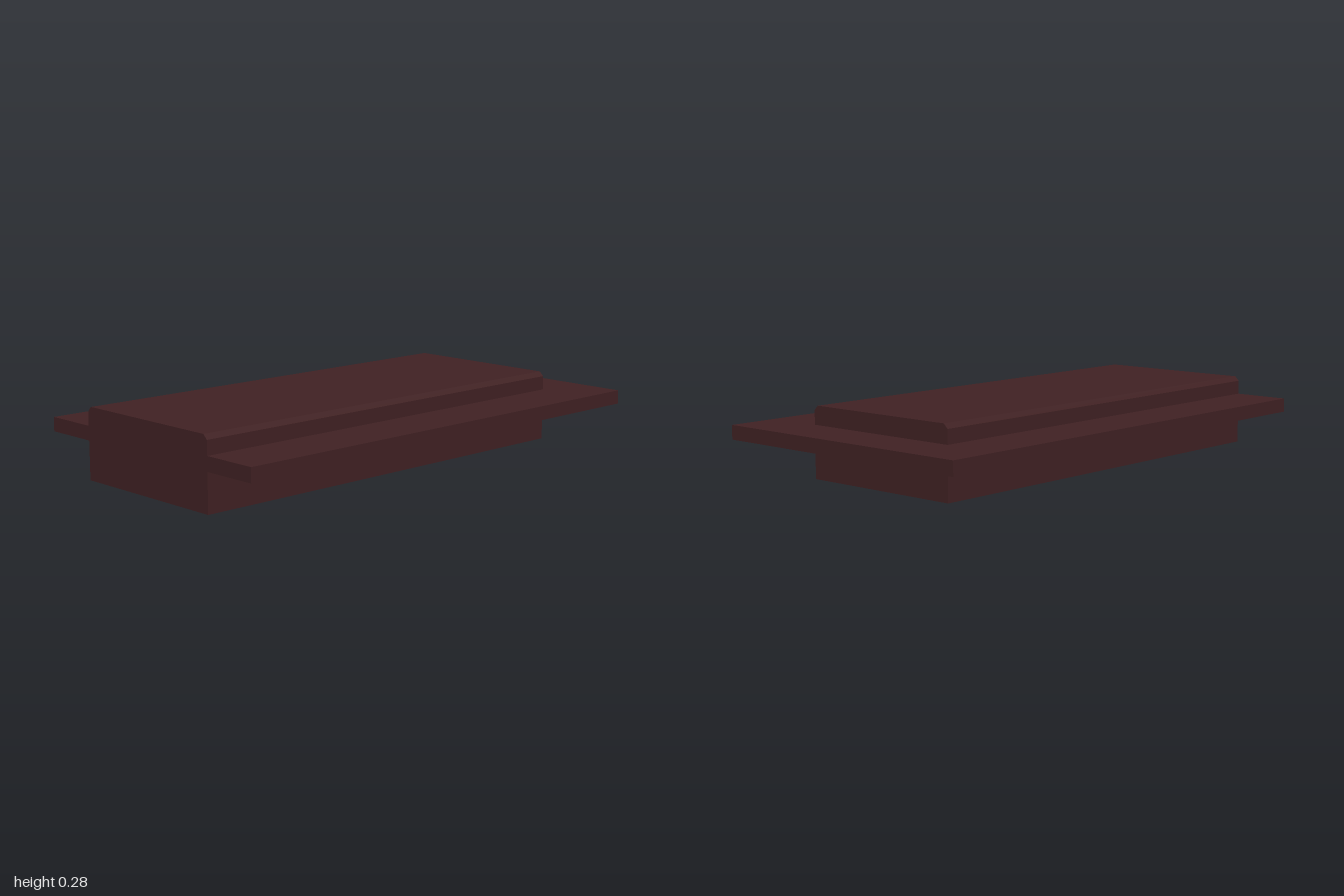
import * as THREE from 'three';

export function createModel() {
  const group = new THREE.Group();
  const brown = new THREE.MeshStandardMaterial({ color: 0x402123 });
  brown.name = 'darkBrown';

  const shapeOf = (pts) => new THREE.Shape(pts.map(([x, y]) => new THREE.Vector2(x, y)));
  const extrude = (pts, depth) =>
    new THREE.ExtrudeGeometry(shapeOf(pts), { depth, bevelEnabled: false });

  // Long block with chamfered upper edges, extruded along x
  const w = 0.348, top = 0.282, c = 0.018, end = 0.79;
  const blockGeo = extrude([
    [-w, 0], [w, 0], [w, top - c], [w - c, top], [-w + c, top], [-w, top - c],
  ], end + 1);
  blockGeo.rotateY(Math.PI / 2).translate(-1, 0, 0);
  const block = new THREE.Mesh(blockGeo, brown);
  block.name = 'block';
  group.add(block);

  // Flat flange wrapping three sides of the block, open at the flush end
  const d = 0.578, y0 = 0.152, y1 = 0.208;
  const flangeGeo = extrude([
    [-1, -d], [1, -d], [1, d], [-1, d], [-1, w], [end, w], [end, -w], [-1, -w],
  ], y1 - y0);
  flangeGeo.rotateX(-Math.PI / 2).translate(0, y0, 0);
  const flange = new THREE.Mesh(flangeGeo, brown);
  flange.name = 'flange';
  group.add(flange);

  return group;
}
